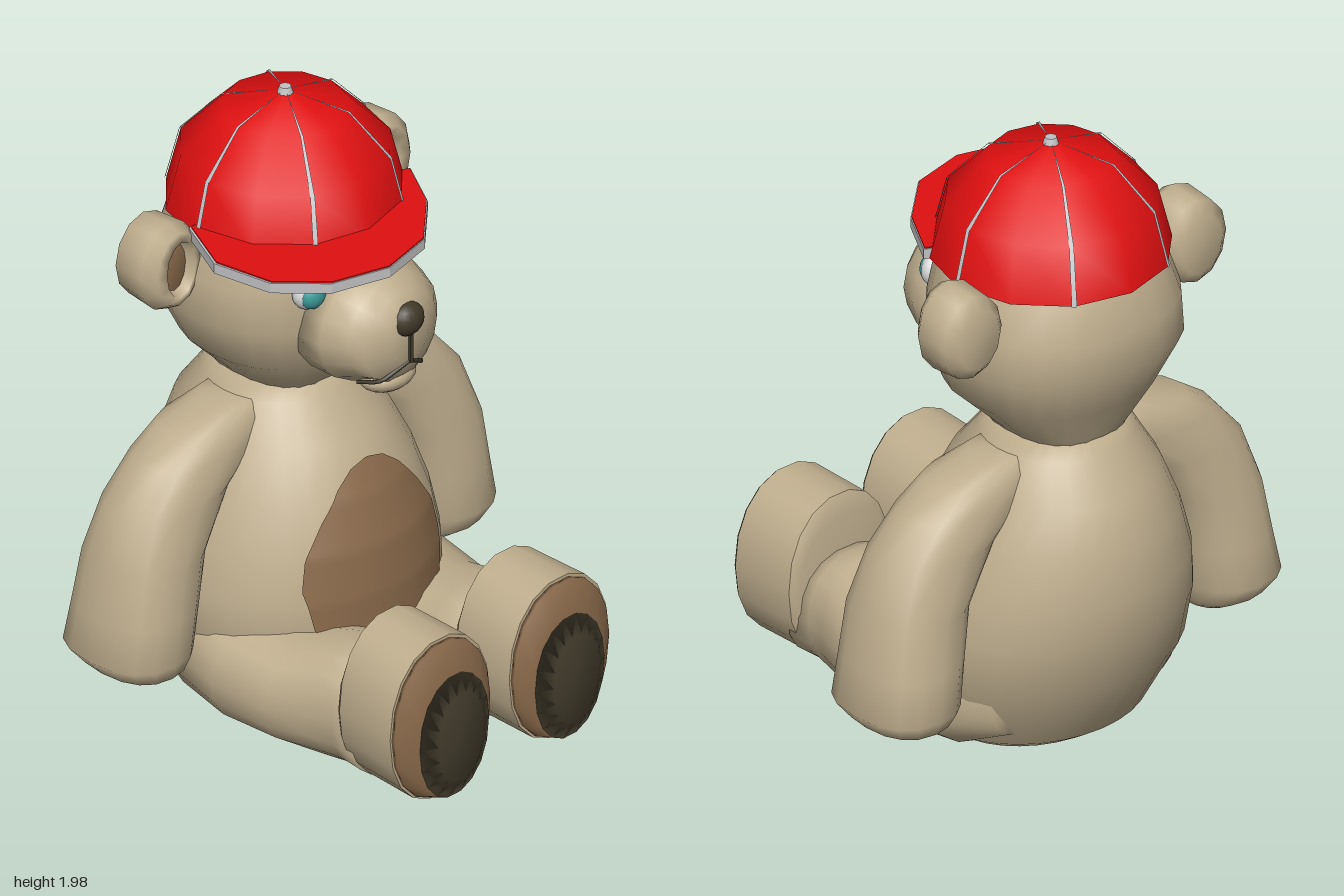
import * as THREE from 'three';

const material = (name, color, side = THREE.FrontSide) => {
  const m = new THREE.MeshStandardMaterial({ color, side });
  m.name = name;
  return m;
};

// Smooth skin over oval rings [position, centreX, centreB, radiusX, radiusB] stacked along y or z.
// A ring given twice makes a sharp edge.
function loft(rings, axis = 'y', sides = 20, power = 2) {
  const pos = [], idx = [], n = sides;
  const put = (x, b, t) => (axis === 'y' ? pos.push(x, t, b) : pos.push(x, b, t));
  const bend = (v) => Math.sign(v) * Math.abs(v) ** (2 / power);
  const dir = axis === 'y' ? 1 : -1;
  for (const [t, cx, cb, rx, rb] of rings) {
    for (let j = 0; j < n; j++) {
      const a = (j / n) * Math.PI * 2;
      put(cx + rx * bend(Math.cos(a)), cb + dir * rb * bend(Math.sin(a)), t);
    }
  }
  const last = (rings.length - 1) * n, c0 = last + n;
  put(rings[0][1], rings[0][2], rings[0][0]);
  const end = rings[rings.length - 1];
  put(end[1], end[2], end[0]);
  for (let j = 0; j < n; j++) {
    const k = (j + 1) % n;
    for (let i = 0; i < last; i += n) idx.push(i + j, i + n + j, i + k, i + k, i + n + j, i + n + k);
    idx.push(c0, j, k, c0 + 1, last + k, last + j);
  }
  const g = new THREE.BufferGeometry();
  g.setAttribute('position', new THREE.Float32BufferAttribute(pos, 3));
  g.setIndex(idx);
  g.computeVertexNormals();
  return g;
}

const BODY = [
  [0.02, 0, -0.22, 0.3, 0.25], [0.06, 0, -0.22, 0.36, 0.31], [0.28, 0, -0.24, 0.46, 0.41],
  [0.45, 0, -0.265, 0.46, 0.43], [0.6, 0, -0.285, 0.43, 0.43], [0.75, 0, -0.3, 0.38, 0.395],
  [0.9, 0, -0.315, 0.31, 0.335], [1.02, 0, -0.32, 0.24, 0.24], [1.08, 0, -0.32, 0.19, 0.21],
];

// Linear lookup in rows sorted by their first number
function sample(rows, y) {
  let i = 0;
  while (i < rows.length - 2 && rows[i + 1][0] < y) i++;
  const t = (y - rows[i][0]) / (rows[i + 1][0] - rows[i][0]);
  return rows[i].map((v, k) => v + (rows[i + 1][k] - v) * t);
}

// Arched patch lying just above the front of the body
function bellyPatch() {
  const widths = [[0.27, 0.06], [0.36, 0.26], [0.5, 0.285], [0.6, 0.265], [0.7, 0.2], [0.79, 0.125], [0.835, 0.065], [0.85, 0.005]];
  const g = new THREE.PlaneGeometry(2, 1, 20, 36);
  const p = g.attributes.position;
  for (let i = 0; i < p.count; i++) {
    const y = 0.56 + p.getY(i) * 0.58;
    const x = p.getX(i) * sample(widths, y)[1];
    const [, , cz, rx, rz] = sample(BODY, y);
    p.setXYZ(i, x, y, cz + rz * Math.sqrt(1 - (x / rx) ** 2) + 0.006);
  }
  g.computeVertexNormals();
  return g;
}

export function createModel() {
  const bear = new THREE.Group();
  bear.name = 'teddyBear';
  const fur = material('tan fur', 0xbfae8e);
  const brown = material('brown plush', 0x8a6a4b);
  const dark = material('dark pad', 0x403a2a);
  const red = material('red cloth', 0xe00f10, THREE.DoubleSide);
  const grey = material('grey trim', 0xc2c2c4, THREE.DoubleSide);
  const teal = material('teal iris', 0x3f9c9c);
  const white = material('eye white', 0xdcdcdc);

  const add = (name, geometry, mat, x = 0, y = 0, z = 0) => {
    const m = new THREE.Mesh(geometry, mat);
    m.name = name;
    m.position.set(x, y, z);
    bear.add(m);
    return m;
  };
  const ball = (name, mat, x, y, z, sx, sy, sz) =>
    add(name, new THREE.SphereGeometry(1, 16, 12), mat, x, y, z).scale.set(sx, sy, sz);

  // Torso and head
  add('body', loft(BODY, 'y', 32), fur);
  add('bellyPatch', bellyPatch(), brown);
  add('head', loft([
    [1.02, 0, -0.31, 0.17, 0.2], [1.08, 0, -0.32, 0.2, 0.22], [1.2, 0, -0.295, 0.32, 0.3],
    [1.35, 0, -0.31, 0.385, 0.36], [1.48, 0, -0.31, 0.375, 0.355],
    [1.6, 0, -0.3, 0.335, 0.335], [1.7, 0, -0.29, 0.29, 0.29],
  ], 'y', 24, 2.3), fur);

  // Muzzle, nose and mouth
  add('muzzle', loft([
    [-0.02, 0, 1.35, 0.23, 0.2], [0.08, 0, 1.35, 0.225, 0.2], [0.16, 0, 1.355, 0.19, 0.17],
    [0.2, 0, 1.34, 0.15, 0.15], [0.24, 0, 1.36, 0.08, 0.09],
  ], 'z', 16), fur);
  ball('lowerLip', fur, 0, 1.185, 0.14, 0.1, 0.05, 0.075);
  ball('nose', dark, 0, 1.41, 0.225, 0.06, 0.055, 0.045);
  add('noseLine', new THREE.BoxGeometry(0.014, 0.1, 0.014), dark, 0, 1.315, 0.24);

  for (const s of [1, -1]) {
    const side = s > 0 ? 'left' : 'right';
    const part = (name, rings, mat, axis, sides, power) =>
      add(side + name, loft(rings.map(([t, x, ...r]) => [t, x * s, ...r]), axis, sides, power), mat);

    const lip = [[0, 1.27, 0.238], [0.05, 1.24, 0.22], [0.085, 1.215, 0.2], [0.115, 1.195, 0.13]]
      .map(([x, y, z]) => new THREE.Vector3(x * s, y, z));
    add(side + 'MouthLine', new THREE.TubeGeometry(new THREE.CatmullRomCurve3(lip), 10, 0.007, 6), dark);

    // Eyes and brows
    ball(side + 'EyeWhite', white, 0.19 * s, 1.49, 0, 0.06, 0.058, 0.042);
    ball(side + 'Iris', teal, 0.193 * s, 1.488, 0.02, 0.047, 0.047, 0.034);
    const brow = add(side + 'Brow', new THREE.BoxGeometry(0.1, 0.014, 0.02), brown, 0.18 * s, 1.555, 0.02);
    brow.rotation.set(0, 0.3 * s, -0.12 * s);

    // Ears with a hollow front
    part('Ear', [
      [-0.48, 0.44, 1.54, 0.08, 0.1], [-0.45, 0.445, 1.54, 0.115, 0.14], [-0.34, 0.445, 1.54, 0.12, 0.15],
      [-0.3, 0.44, 1.54, 0.09, 0.125], [-0.3, 0.43, 1.535, 0.06, 0.095], [-0.34, 0.43, 1.53, 0.045, 0.08],
    ], fur, 'z', 12);
    part('InnerEar', [[-0.345, 0.43, 1.53, 0.05, 0.085], [-0.332, 0.43, 1.53, 0.05, 0.085]], brown, 'z', 12);

    // Arms hanging from the shoulders
    part('Arm', [
      [0.22, 0.6, -0.31, 0.09, 0.12], [0.25, 0.62, -0.315, 0.13, 0.17], [0.31, 0.635, -0.32, 0.165, 0.205],
      [0.45, 0.61, -0.315, 0.165, 0.195], [0.62, 0.58, -0.31, 0.17, 0.18], [0.79, 0.49, -0.31, 0.2, 0.155],
      [0.91, 0.36, -0.31, 0.23, 0.14], [0.98, 0.28, -0.31, 0.21, 0.125], [1.025, 0.2, -0.31, 0.11, 0.09],
    ], fur, 'y', 16, 2.4);

    // Legs, feet and soles
    part('Leg', [
      [-0.45, 0.23, 0.25, 0.14, 0.15], [-0.3, 0.25, 0.22, 0.22, 0.19], [-0.1, 0.265, 0.2, 0.235, 0.185],
      [0.1, 0.26, 0.19, 0.215, 0.175], [0.25, 0.245, 0.215, 0.195, 0.2], [0.33, 0.235, 0.21, 0.185, 0.19],
      [0.42, 0.24, 0.2, 0.185, 0.18],
    ], fur, 'z', 18, 2.3);
    const back = [0.39, 0.245, 0.293, 0.2, 0.275], front = [0.62, 0.25, 0.293, 0.208, 0.275];
    part('Foot', [[0.365, 0.245, 0.28, 0.18, 0.23], back, back, front, front], fur, 'z', 18, 2.15);
    const rim = [0.675, 0.242, 0.25, 0.145, 0.212];
    part('Sole', [[0.62, 0.25, 0.291, 0.202, 0.268], [0.632, 0.25, 0.291, 0.2, 0.266], rim], brown, 'z', 18, 2.1);
    part('SolePad', [rim, [0.705, 0.242, 0.255, 0.095, 0.15], [0.718, 0.242, 0.26, 0.03, 0.05]], dark, 'z', 18, 2.1);
  }

  // Cap crown with six seams and a button
  const profile = (o) => [[0.37, 1.62], [0.325, 1.8], [0.195, 1.935], [0.001, 1.985]]
    .map(([r, y]) => new THREE.Vector2(r + (r > 0.01 ? o : 0), y + (r < 0.3 ? o : 0)));
  add('capCrown', new THREE.LatheGeometry(profile(0), 12), red, 0, 0, -0.295);
  for (let i = 0; i < 6; i++) {
    const a = Math.PI / 6 + (i * Math.PI) / 3;
    add('capSeam', new THREE.LatheGeometry(profile(0.004), 1, a - 0.022, 0.044), grey, 0, 0, -0.295);
  }
  add('capButton', new THREE.CylinderGeometry(0.018, 0.026, 0.025, 10), grey, 0, 1.9875, -0.295);

  // Bill turned a little to one side, red above and grey below
  const outline = [[-0.38, -0.32], [-0.47, -0.12], [-0.43, 0.08], [-0.3, 0.21], [-0.11, 0.265],
    [0.08, 0.22], [0.24, 0.07], [0.335, -0.1], [0.15, -0.2], [-0.15, -0.35]];
  const bill = (grow, depth) => new THREE.ExtrudeGeometry(
    new THREE.Shape(outline.map(([x, z]) => new THREE.Vector2(x * grow, -z * grow))),
    { depth, bevelEnabled: false }).rotateX(-Math.PI / 2);
  add('billUnderside', bill(1, 0.034), grey, 0, 1.618, 0);
  add('billTop', bill(0.985, 0.005), red, 0, 1.651, 0);
  return bear;
}
